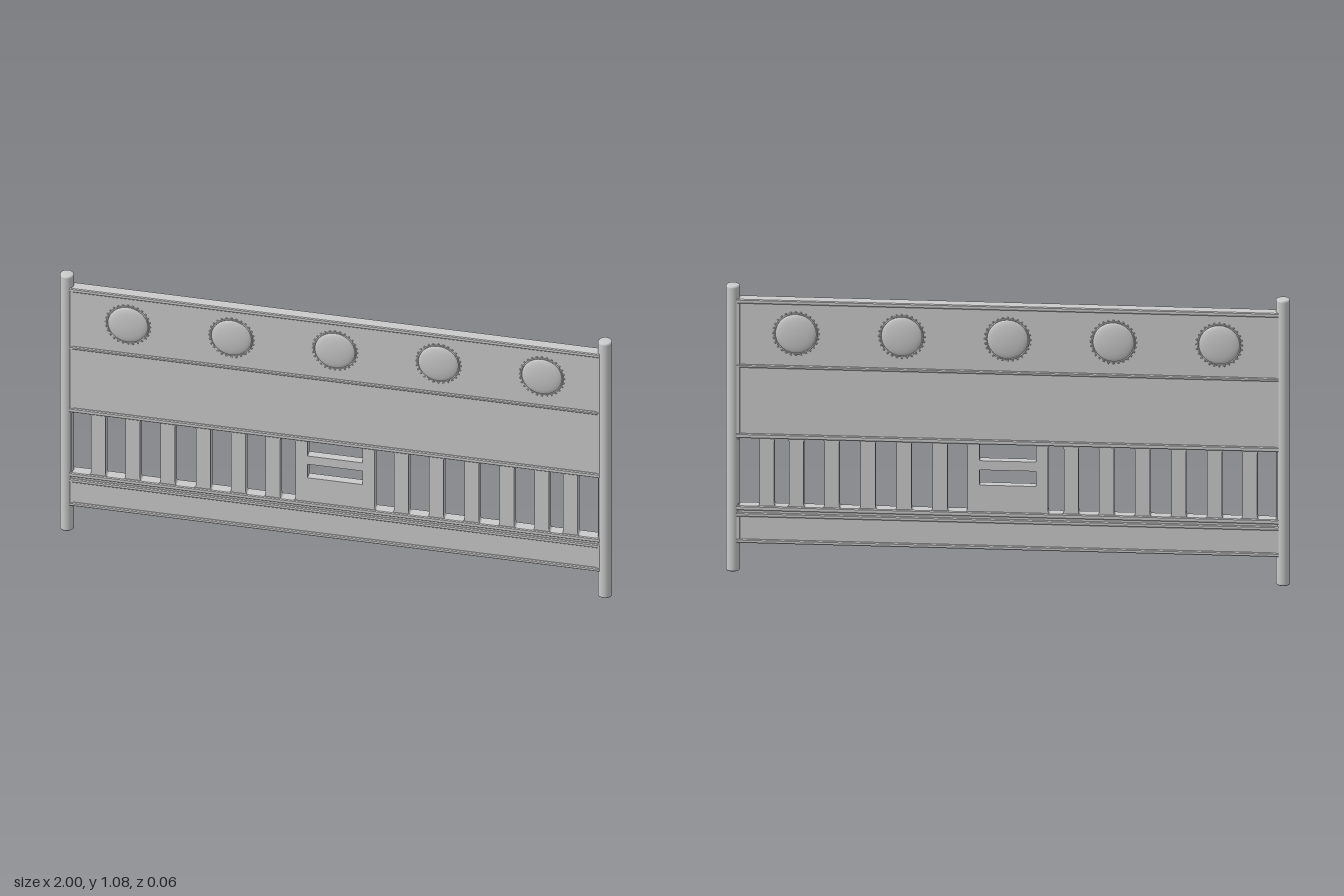
import * as THREE from 'three';

const mat = new THREE.MeshStandardMaterial({ color: 0xcccccc });

export function createModel() {
  const root = new THREE.Group();
  const add = (name, geo, x = 0, y = 0, z = 0, parent = root) => {
    const m = new THREE.Mesh(geo, mat);
    m.name = name;
    m.position.set(x, y, z);
    parent.add(m);
    return m;
  };
  const box = (name, x0, x1, y0, y1, depth) =>
    add(name, new THREE.BoxGeometry(x1 - x0, y1 - y0, depth), (x0 + x1) / 2, (y0 + y1) / 2, 0);

  // Rounded rectangular outline used for the openings
  const opening = (x0, x1, y0, y1, r) => {
    const p = new THREE.Path();
    p.moveTo(x0 + r, y0);
    p.lineTo(x1 - r, y0);
    p.quadraticCurveTo(x1, y0, x1, y0 + r);
    p.lineTo(x1, y1 - r);
    p.quadraticCurveTo(x1, y1, x1 - r, y1);
    p.lineTo(x0 + r, y1);
    p.quadraticCurveTo(x0, y1, x0, y1 - r);
    p.lineTo(x0, y0 + r);
    p.quadraticCurveTo(x0, y0, x0 + r, y0);
    return p;
  };

  // Round end posts with slightly softened ends
  const H = 1.075, R = 0.025;
  const postProfile = [[0, 0], [R - 0.003, 0], [R, 0.003], [R, H - 0.004], [R - 0.004, H], [0, H]];
  for (const s of [-1, 1]) {
    const pts = [];
    postProfile.forEach(([r, y], i) => {
      pts.push(new THREE.Vector2(r, y));
      // short support points keep the long wall shading straight
      if (i === 2) pts.push(new THREE.Vector2(r, y + 0.004));
      if (i === 2) pts.push(new THREE.Vector2(r, H - 0.008));
    });
    add(s > 0 ? 'leftPost' : 'rightPost', new THREE.LatheGeometry(pts, 32), s * 0.975);
  }

  // Pierced board: slats stay between the openings, plus the slotted centre plate
  const W = 0.96, D = 0.032;
  const board = new THREE.Shape();
  board.moveTo(-W, 0.115);
  board.lineTo(W, 0.115);
  board.lineTo(W, 1.02);
  board.lineTo(-W, 1.02);
  board.closePath();
  const slats = [-0.858, -0.733, -0.606, -0.478, -0.35, -0.225, 0.24, 0.367, 0.495, 0.623, 0.749, 0.853];
  const half = 0.026;
  const edges = [-0.955];
  for (const x of slats) {
    if (x === 0.24) edges.push(-0.143, 0.143);
    edges.push(x - half, x + half);
  }
  edges.push(0.955);
  for (let i = 0; i < edges.length; i += 2)
    board.holes.push(opening(edges[i], edges[i + 1], 0.247, 0.503, 0.012));
  board.holes.push(opening(-0.1, 0.1, 0.44, 0.503, 0.002));
  board.holes.push(opening(-0.1, 0.1, 0.348, 0.405, 0.002));
  add('slattedBoard', new THREE.ExtrudeGeometry(board, { depth: D, bevelEnabled: false, curveSegments: 4 }), 0, 0, -D / 2);

  // Horizontal rails, chamfered along their long edges
  const rail = (name, y0, y1, depth) => {
    const h = (y1 - y0) / 2, d = depth / 2, c = Math.min(0.003, h * 0.5);
    const s = new THREE.Shape([
      [-d + c, -h], [d - c, -h], [d, -h + c], [d, h - c],
      [d - c, h], [-d + c, h], [-d, h - c], [-d, -h + c],
    ].map(([a, b]) => new THREE.Vector2(a, b)));
    const g = new THREE.ExtrudeGeometry(s, { depth: 2 * W, bevelEnabled: false });
    g.rotateY(Math.PI / 2);
    add(name, g, -W, (y0 + y1) / 2, 0);
  };
  rail('topRail', 1.01, 1.026, 0.045);
  rail('middleRail', 0.768, 0.78, 0.043);
  rail('upperSlatRail', 0.503, 0.52, 0.045);
  rail('lowerSlatRail', 0.231, 0.248, 0.045);
  rail('bottomPanelRail', 0.207, 0.222, 0.045);
  rail('bottomRail', 0.108, 0.122, 0.045);

  // Narrow stiles beside the posts
  for (const s of [-1, 1]) {
    for (const [y0, y1] of [[0.115, 0.215], [0.515, 0.773], [0.773, 1.015]])
      box('endStile', s * 0.9545 - 0.0055, s * 0.9545 + 0.0055, y0, y1, 0.04);
  }

  // Domed medallions with a beaded border on both faces
  const dome = [];
  for (let i = 0; i <= 8; i++) {
    const t = (i / 8) * Math.PI / 2;
    dome.push(new THREE.Vector2(0.073 * Math.cos(t), 0.012 * Math.sin(t)));
  }
  dome[8].x = 0;
  const domeGeo = new THREE.LatheGeometry(dome, 40).rotateX(Math.PI / 2);
  const rimGeo = new THREE.TorusGeometry(0.075, 0.003, 6, 40);
  const beadGeo = new THREE.SphereGeometry(0.0032, 8, 6);
  for (let i = -2; i <= 2; i++) {
    for (const side of [1, -1]) {
      const g = new THREE.Group();
      g.name = side > 0 ? 'frontMedallion' : 'backMedallion';
      g.position.set(i * 0.375, 0.9, side * D / 2);
      if (side < 0) g.rotation.y = Math.PI;
      add('dome', domeGeo, 0, 0, 0, g);
      add('rim', rimGeo, 0, 0, 0, g);
      for (let k = 0; k < 28; k++) {
        const a = (k / 28) * Math.PI * 2;
        add('bead', beadGeo, 0.081 * Math.cos(a), 0.081 * Math.sin(a), 0, g);
      }
      root.add(g);
    }
  }
  return root;
}
